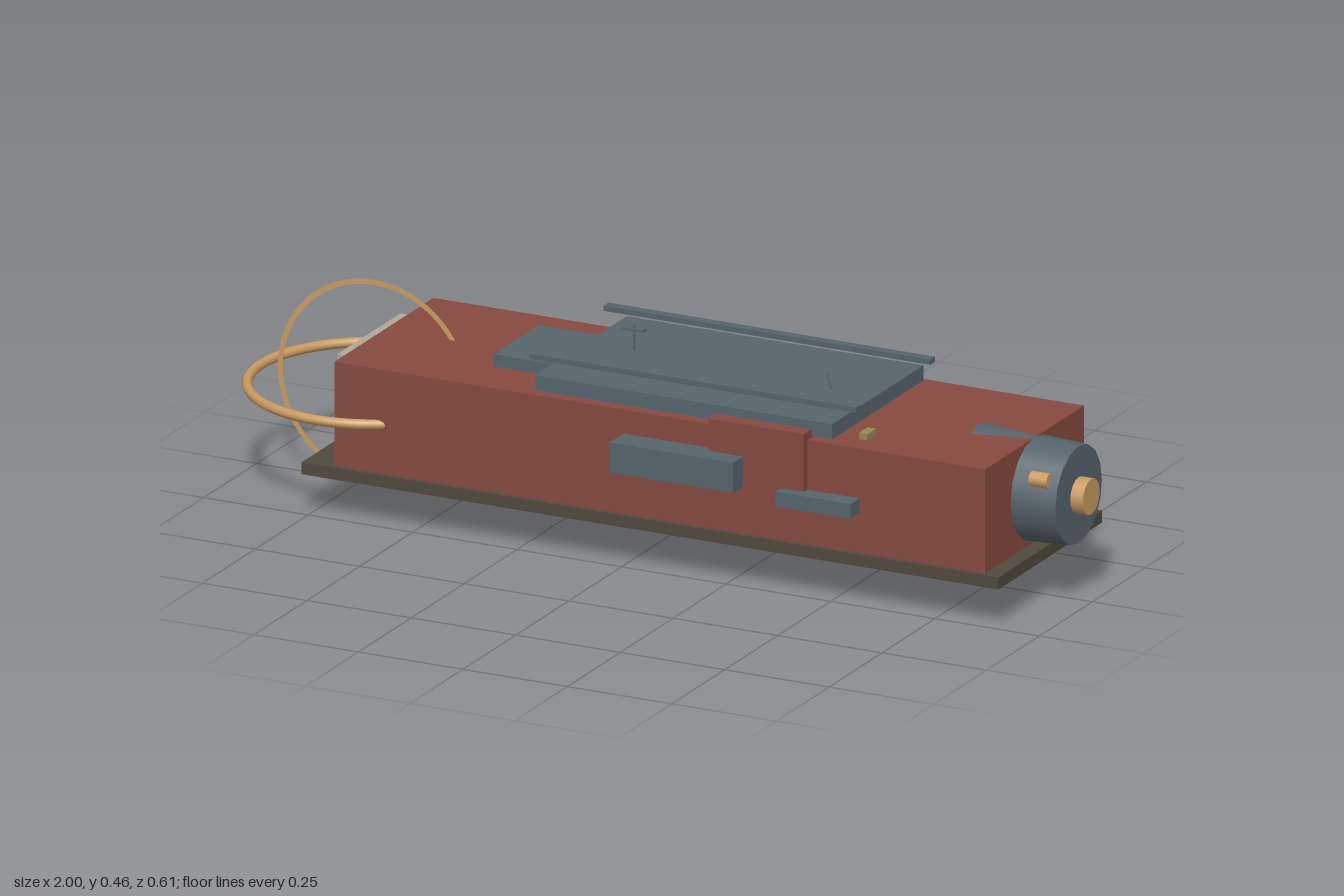
import * as THREE from 'three';

const mat = (color, extra = {}) => new THREE.MeshStandardMaterial({ color, ...extra });

export function createModel() {
  const g = new THREE.Group();
  const red = mat(0x854a40), blue = mat(0x56646d), dark = mat(0x51493d);
  const tan = mat(0xc99b62), beige = mat(0xb0a898), brass = mat(0x9a8658);

  const add = (name, geo, material, x = 0, y = 0, z = 0) => {
    const m = new THREE.Mesh(geo, material);
    m.name = name;
    m.position.set(x, y, z);
    g.add(m);
    return m;
  };
  // Box given by its limits on each axis
  const box = (name, material, [x0, x1], [y0, y1], [z0, z1]) =>
    add(name, new THREE.BoxGeometry(x1 - x0, y1 - y0, z1 - z0), material,
      (x0 + x1) / 2, (y0 + y1) / 2, (z0 + z1) / 2);
  // Cylinder lying along x, r0 at the back end and r1 at the +x end
  const barrel = (name, material, r0, r1, x0, x1, y, z, sides) => {
    const geo = new THREE.CylinderGeometry(r1, r0, x1 - x0, sides).rotateZ(-Math.PI / 2);
    return add(name, geo, material, (x0 + x1) / 2, y, z);
  };

  // Hull
  box('basePlate', dark, [-0.765, 0.902], [0.097, 0.124], [-0.24, 0.251]);
  box('body', red, [-0.692, 0.865], [0.124, 0.359], [-0.228, 0.24]);
  box('rearPanel', beige, [-0.73, -0.69], [0.175, 0.343], [-0.147, 0.152]);

  // Deck and its rails
  box('deck', blue, [-0.22, 0.49], [0.363, 0.397], [-0.21, 0.222]);
  box('rearDeck', blue, [-0.375, -0.21], [0.355, 0.386], [-0.102, 0.112]);
  for (const z of [-0.17, 0.181])
    box('rail', blue, [-0.25, 0.532], [0.42, 0.432], [z - 0.011, z + 0.011]);
  box('deckTab', brass, [0.535, 0.555], [0.355, 0.373], [0.144, 0.185]);

  // Masts on the deck
  add('mast', new THREE.CylinderGeometry(0.003, 0.003, 0.062, 8), blue, -0.105, 0.425, -0.018);
  box('mastCrossbar', blue, [-0.13, -0.08], [0.443, 0.448], [-0.027, -0.009]);
  const whip = add('whipMast', new THREE.CylinderGeometry(0.002, 0.002, 0.04, 8), blue, 0.382, 0.414, 0.022);
  whip.rotation.z = 0.3;

  // Side fittings
  box('crossBlock', red, [0.212, 0.44], [0.235, 0.378], [-0.247, 0.258]);
  box('leftPod', blue, [0, 0.295], [0.237, 0.305], [0.23, 0.305]);
  box('leftSmallPod', blue, [0.385, 0.565], [0.214, 0.247], [0.23, 0.283]);
  box('rightPod', beige, [-0.05, 0.295], [0.256, 0.333], [-0.304, -0.22]);
  box('rightSmallPod', red, [0.34, 0.547], [0.243, 0.284], [-0.282, -0.22]);

  // Nose drum with hub and two studs
  barrel('noseDrum', blue, 0.121, 0.11, 0.73, 0.97, 0.246, 0.005, 16);
  barrel('noseHub', tan, 0.04, 0.04, 0.95, 1.0, 0.246, 0.005, 16);
  barrel('noseStud', tan, 0.017, 0.017, 0.907, 0.95, 0.303, 0.102, 12);
  barrel('noseStud', tan, 0.017, 0.017, 0.907, 0.95, 0.186, -0.093, 12);

  // Rear hoops: a round tube lying flat and a thin upright band
  add('flatHoop', new THREE.TorusGeometry(0.27, 0.011, 10, 64).rotateX(Math.PI / 2), tan, -0.719, 0.233, 0.002);
  add('uprightHoop', new THREE.RingGeometry(0.218, 0.23, 64),
    mat(0xc99b62, { side: THREE.DoubleSide }), -0.718, 0.237, 0.002);

  return g;
}
